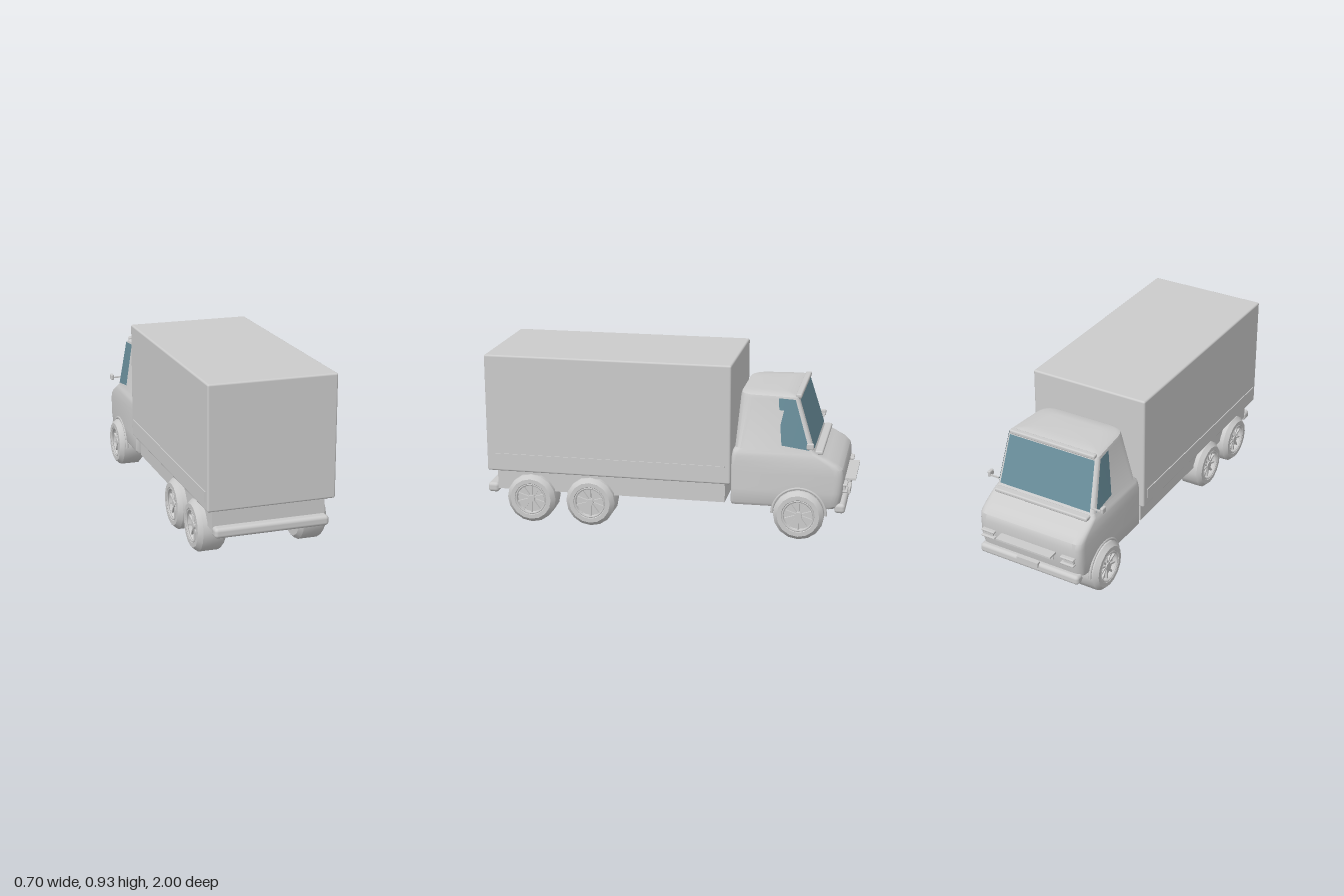
import * as THREE from 'three';
import { toCreasedNormals } from 'three/addons/utils/BufferGeometryUtils.js';
import { RoundedBoxGeometry } from 'three/addons/geometries/RoundedBoxGeometry.js';

const grey = new THREE.MeshStandardMaterial({ color: 0xcccccc });
const glass = new THREE.MeshStandardMaterial({ color: 0x6a8f9c, side: THREE.DoubleSide });

function add(parent, name, geometry, x = 0, y = 0, z = 0, material = grey) {
  const mesh = new THREE.Mesh(geometry, material);
  mesh.name = name;
  mesh.position.set(x, y, z);
  parent.add(mesh);
  return mesh;
}
// Box given by its limits, rounded when r > 0
function box(parent, name, [x0, x1], [y0, y1], [z0, z1], r = 0) {
  const s = [x1 - x0, y1 - y0, z1 - z0];
  const g = r ? new RoundedBoxGeometry(...s, 3, r) : new THREE.BoxGeometry(...s);
  return add(parent, name, g, (x0 + x1) / 2, (y0 + y1) / 2, (z0 + z1) / 2);
}

// Cab cross-section: trapezoid in plan with rounded corners
function ring([y, zf, zb, wf, wb, rf, rb]) {
  const c = [[wf, zf, rf], [-wf, zf, rf], [-wb, zb, rb], [wb, zb, rb]];
  const v = c.map(([x, z]) => new THREE.Vector2(x, z));
  return c.flatMap(([, , r], i) => {
    const toward = (k) => v[k % 4].clone().sub(v[i]).setLength(r).add(v[i]);
    return new THREE.QuadraticBezierCurve(toward(i + 3), v[i], toward(i + 1))
      .getPoints(5).map((p) => [p.x, y, p.y]);
  });
}
// Skin through stacked rings, closed at both ends
function loft(sections) {
  const rings = sections.map(ring), n = rings[0].length, last = rings.length - 1;
  const pos = rings.flat(2), idx = [];
  const bottom = rings.length * n, top = bottom + 1;
  for (const s of [sections[0], sections[last]]) pos.push(0, s[0], (s[1] + s[2]) / 2);
  for (let j = 0; j < n; j++) {
    const k = (j + 1) % n;
    for (let i = 0; i < last; i++) {
      const a = i * n + j, b = i * n + k;
      idx.push(a, b, b + n, a, b + n, a + n);
    }
    idx.push(bottom, k, j, top, last * n + j, last * n + k);
  }
  const g = new THREE.BufferGeometry();
  g.setAttribute('position', new THREE.Float32BufferAttribute(pos, 3));
  g.setIndex(idx);
  return toCreasedNormals(g, 0.6);
}
// Four-cornered pane
function pane(corners) {
  const g = new THREE.BufferGeometry();
  g.setAttribute('position', new THREE.Float32BufferAttribute(corners.flat(), 3));
  g.setIndex([0, 1, 2, 0, 2, 3]);
  g.computeVertexNormals();
  return g;
}

// Wheel with its outer face toward +y
function makeWheel() {
  const wheel = new THREE.Group();
  const profile = [[0, 0], [0.115, 0], [0.135, 0.02], [0.135, 0.125], [0.113, 0.148],
    [0.09, 0.148], [0.085, 0.142], [0.08, 0.118], [0, 0.118]];
  add(wheel, 'tyre', toCreasedNormals(
    new THREE.LatheGeometry(profile.map((p) => new THREE.Vector2(...p)), 16), 0.5));
  const rim = add(wheel, 'rim', new THREE.TorusGeometry(0.082, 0.006, 6, 24), 0, 0.142, 0);
  rim.rotation.x = Math.PI / 2;
  add(wheel, 'hub', new THREE.CylinderGeometry(0.018, 0.022, 0.02, 12), 0, 0.128, 0);
  for (let i = 0; i < 10; i++) {
    const a = (i / 10) * Math.PI * 2;
    const spoke = add(wheel, 'spoke', new THREE.BoxGeometry(0.066, 0.012, 0.009),
      Math.cos(a) * 0.047, 0.126, -Math.sin(a) * 0.047);
    spoke.rotation.y = a;
  }
  return wheel;
}

function makeCab() {
  const cab = new THREE.Group();
  cab.name = 'cab';
  // Columns: y, front z, back z, front half width, back half width, front radius, back radius
  add(cab, 'cabBody', loft([
    [0.17, -0.905, -0.352, 0.298, 0.305, 0.05, 0.02],
    [0.185, -0.925, -0.35, 0.305, 0.315, 0.05, 0.02],
    [0.26, -0.942, -0.35, 0.31, 0.315, 0.05, 0.02],
    [0.35, -0.945, -0.35, 0.31, 0.315, 0.05, 0.02],
    [0.385, -0.937, -0.35, 0.31, 0.315, 0.05, 0.02],
    [0.41, -0.91, -0.35, 0.308, 0.315, 0.05, 0.025],
    [0.44, -0.855, -0.352, 0.306, 0.313, 0.045, 0.03],
    [0.462, -0.805, -0.356, 0.302, 0.31, 0.03, 0.035],
    [0.48, -0.785, -0.365, 0.293, 0.298, 0.025, 0.05],
    [0.745, -0.702, -0.382, 0.272, 0.245, 0.025, 0.08],
    [0.76, -0.694, -0.386, 0.267, 0.24, 0.025, 0.08],
    [0.768, -0.675, -0.4, 0.25, 0.225, 0.025, 0.08],
    [0.772, -0.62, -0.45, 0.18, 0.16, 0.025, 0.06],
  ]));

  // Points on the flat faces of the upper cab
  const lerp = THREE.MathUtils.lerp;
  const rise = (y) => (y - 0.48) / 0.265;
  const frontZ = (y) => lerp(-0.785, -0.702, rise(y));
  const sideX = (y, z) => {
    const t = rise(y), zf = frontZ(y), zb = lerp(-0.365, -0.382, t);
    return lerp(lerp(0.293, 0.272, t), lerp(0.298, 0.245, t), (z - zf) / (zb - zf)) + 0.004;
  };
  const screen = (x, y) => [x, y, frontZ(y) - 0.004];
  add(cab, 'windscreen', pane([screen(-0.272, 0.49), screen(-0.254, 0.747),
    screen(0.254, 0.747), screen(0.272, 0.49)]), 0, 0, 0, glass);
  box(cab, 'roofLip', [-0.255, 0.255], [0.753, 0.776], [-0.712, -0.68], 0.008);
  box(cab, 'cowl', [-0.28, 0.28], [0.458, 0.48], [-0.832, -0.79], 0.008);

  for (const s of [1, -1]) {
    const at = (y, z) => [s * sideX(y, z), y, z];
    add(cab, 'sideWindow', pane([at(0.505, -0.615), at(0.485, -0.762),
      at(0.75, -0.682), at(0.752, -0.592)]), 0, 0, 0, glass);
    // Mirror on its arm
    box(cab, 'mirrorArm', [s * 0.312 - 0.03, s * 0.312 + 0.03], [0.51, 0.518], [-0.785, -0.777]);
    box(cab, 'mirror', [s * 0.341 - 0.009, s * 0.341 + 0.009], [0.504, 0.538], [-0.79, -0.752], 0.007);
    // Wheel arch lip
    const arch = add(cab, 'wheelArch', new THREE.TorusGeometry(0.143, 0.008, 6, 20, Math.PI),
      s * 0.31, 0.135, -0.715);
    arch.rotation.y = Math.PI / 2;
    // Front lamp trims
    for (const y of [0.265, 0.3]) {
      box(cab, 'lampTrim', [s * 0.24 - 0.04, s * 0.24 + 0.04], [y - 0.006, y + 0.006], [-0.965, -0.93], 0.005);
    }
    box(cab, 'lamp', [s * 0.245 - 0.03, s * 0.245 + 0.03], [0.27, 0.295], [-0.952, -0.93]);
  }
  box(cab, 'grilleShelf', [-0.165, 0.165], [0.295, 0.305], [-1, -0.93]);
  box(cab, 'grille', [-0.15, 0.15], [0.255, 0.295], [-0.95, -0.93]);
  box(cab, 'frontBumper', [-0.3, 0.3], [0.148, 0.2], [-0.957, -0.9], 0.018);
  box(cab, 'numberPlate', [-0.065, 0.065], [0.18, 0.208], [-0.965, -0.94]);
  return cab;
}

export function createModel() {
  const truck = new THREE.Group();
  truck.name = 'boxTruck';

  // Cargo body and chassis
  box(truck, 'cargoBox', [-0.337, 0.337], [0.285, 0.93], [-0.352, 0.985], 0.01);
  for (const s of [1, -1]) {
    box(truck, 'sideStrip', [s * 0.338 - 0.004, s * 0.338 + 0.004], [0.33, 0.385], [-0.32, 0.955]);
  }
  box(truck, 'cargoFloor', [-0.315, 0.315], [0.265, 0.29], [-0.315, 0.935]);
  box(truck, 'chassis', [-0.298, 0.298], [0.172, 0.287], [-0.318, 0.94]);
  box(truck, 'rearBumper', [-0.302, 0.302], [0.147, 0.2], [0.938, 1], 0.018);
  truck.add(makeCab());

  // Three axles
  for (const [name, z] of [['frontWheel', -0.715], ['middleWheel', 0.415], ['rearWheel', 0.745]]) {
    for (const s of [1, -1]) {
      const wheel = makeWheel();
      wheel.name = name;
      wheel.rotation.z = -s * Math.PI / 2;
      wheel.position.set(s * 0.197, 0.135, z);
      truck.add(wheel);
    }
  }
  return truck;
}
